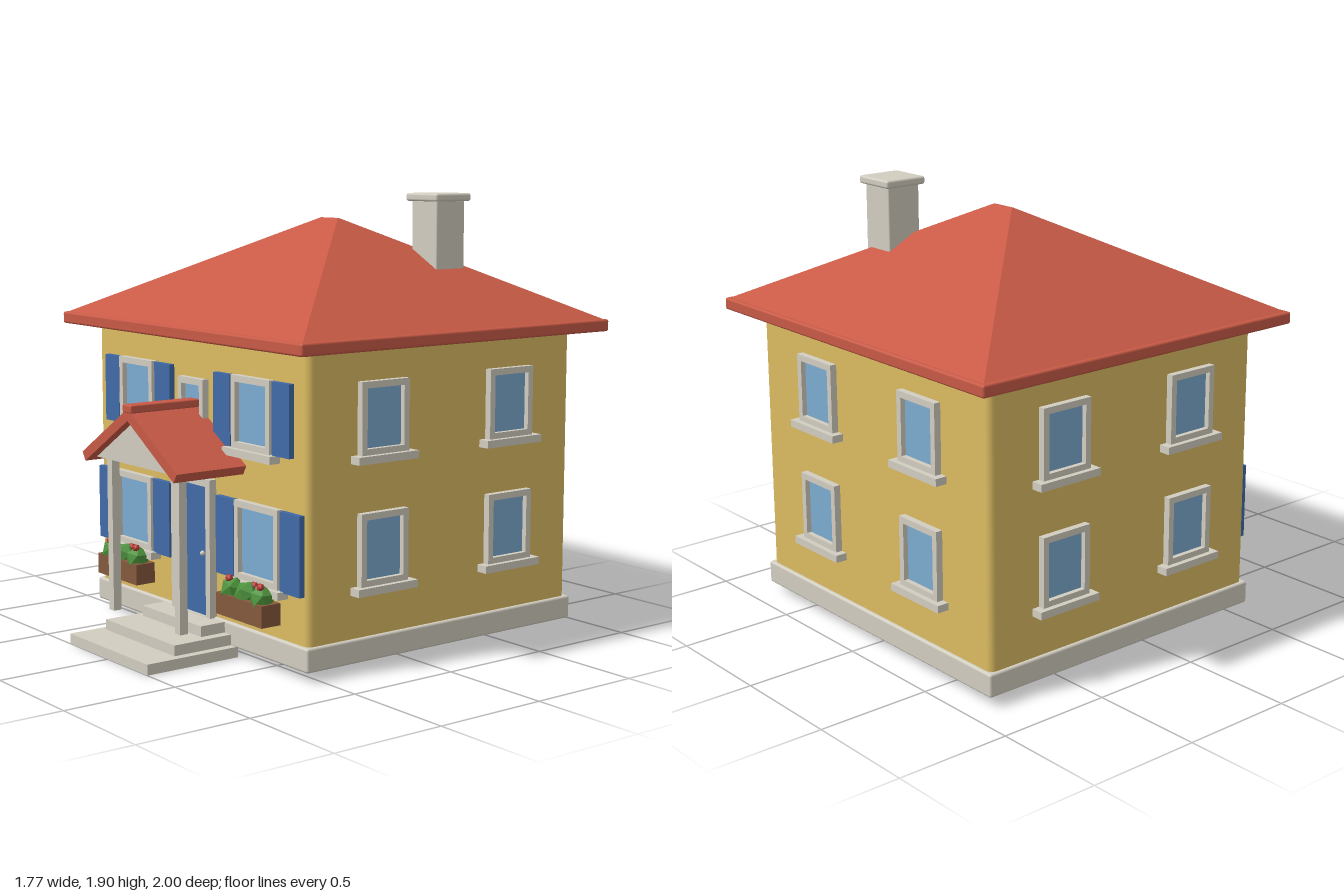
import * as THREE from 'three';
import { RoundedBoxGeometry } from 'three/addons/geometries/RoundedBoxGeometry.js';

const mat = (name, color, flatShading = false) => {
  const m = new THREE.MeshStandardMaterial({ color, flatShading });
  m.name = name;
  return m;
};

export function createModel() {
  const wallYellow = mat('wallYellow', 0xdcbc62);
  const roofRed = mat('roofRed', 0xc85a46);
  const trimStone = mat('trimStone', 0xd2cdc0);
  const paintBlue = mat('paintBlue', 0x416aa8);
  const glassBlue = mat('glassBlue', 0x7cabd0);
  const woodBrown = mat('woodBrown', 0x85593d);
  const leafGreen = mat('leafGreen', 0x4c923c, true);
  const flowerRed = mat('flowerRed', 0xbb3a34, true);

  const house = new THREE.Group();
  house.name = 'house';
  const CZ = -0.165; // centre of the main block

  const add = (parent, name, geometry, material, x = 0, y = 0, z = 0) => {
    const mesh = new THREE.Mesh(geometry, material);
    mesh.name = name;
    mesh.position.set(x, y, z);
    parent.add(mesh);
    return mesh;
  };
  // box given by its limits, with an optional edge radius
  const box = (parent, name, material, [x0, x1], [y0, y1], [z0, z1], r = 0) => {
    const s = [x1 - x0, y1 - y0, z1 - z0];
    const g = r ? new RoundedBoxGeometry(...s, 3, r) : new THREE.BoxGeometry(...s);
    return add(parent, name, g, material, (x0 + x1) / 2, (y0 + y1) / 2, (z0 + z1) / 2);
  };
  const extrude = (points, depth) => new THREE.ExtrudeGeometry(
    new THREE.Shape(points.map(p => new THREE.Vector2(...p))), { depth, bevelEnabled: false });
  // rectangular surround with an opening
  const frameGeometry = (w, h, t, depth, bottom = t) => {
    const rect = (C, a, b, c, d) => new C([[a, b], [c, b], [c, d], [a, d]].map(p => new THREE.Vector2(...p)));
    const shape = rect(THREE.Shape, -w / 2, 0, w / 2, h);
    shape.holes.push(rect(THREE.Path, -w / 2 + t, bottom, w / 2 - t, h - t));
    return new THREE.ExtrudeGeometry(shape, { depth, bevelEnabled: false });
  };

  // Main block
  box(house, 'foundation', trimStone, [-0.785, 0.785], [0.04, 0.14], [-0.895, 0.565], 0.01);
  box(house, 'walls', wallYellow, [-0.77, 0.77], [0.05, 1.35], [-0.88, 0.55], 0.03);

  // Hip roof: a box whose top is drawn in to the ridge
  box(house, 'eaves', roofRed, [-0.885, 0.885], [1.31, 1.362], [-1, 0.67], 0.01);
  const hip = new THREE.BoxGeometry(1.76, 0.435, 1.66).toNonIndexed();
  const p = hip.attributes.position;
  for (let i = 0; i < p.count; i++) {
    if (p.getY(i) > 0) p.setXYZ(i, Math.sign(p.getX(i)) * 0.06, p.getY(i), Math.sign(p.getZ(i)) * 0.003);
  }
  hip.computeVertexNormals();
  add(house, 'hipRoof', hip, roofRed, 0, 1.5725, CZ);

  // Chimney
  box(house, 'chimney', trimStone, [0.3, 0.46], [1.5, 1.87], [-0.54, -0.38], 0.006);
  box(house, 'chimneyCap', trimStone, [0.28, 0.48], [1.866, 1.9], [-0.56, -0.36], 0.01);

  // Window facing local +z, standing on its sill at y
  const addWindow = (name, wall, x, y, w, h, sill = true) => {
    const g = new THREE.Group();
    g.name = name;
    g.position.set(x, y, 0);
    add(g, 'windowFrame', frameGeometry(w, h, 0.027, 0.04), trimStone, 0, 0, -0.01);
    box(g, 'windowGlass', glassBlue, [-w / 2 + 0.02, w / 2 - 0.02], [0.02, h - 0.02], [0, 0.008]);
    if (sill) box(g, 'windowSill', trimStone, [-w / 2 - 0.033, w / 2 + 0.033], [-0.03, 0.002], [-0.01, 0.053]);
    wall.add(g);
  };
  const addWall = (name, x, z, turn) => {
    const g = new THREE.Group();
    g.name = name;
    g.position.set(x, 0, z);
    g.rotation.y = turn;
    house.add(g);
    return g;
  };

  // Side and back windows
  const plainWalls = [
    [addWall('leftWallWindows', 0.77, CZ, Math.PI / 2), 0.345],
    [addWall('rightWallWindows', -0.77, CZ, -Math.PI / 2), 0.345],
    [addWall('backWallWindows', 0, -0.88, Math.PI), 0.35],
  ];
  for (const [wall, offset] of plainWalls) {
    for (const s of [-1, 1]) {
      addWindow('lowerWindow', wall, s * offset, 0.35, 0.245, 0.3);
      addWindow('upperWindow', wall, s * offset, 0.883, 0.245, 0.297);
    }
  }

  // Front windows, shutters and flower boxes
  const front = addWall('frontWall', 0, 0.55, 0);
  addWindow('smallWindow', front, 0, 0.88, 0.185, 0.26, false);
  for (const s of [-1, 1]) {
    const span = (a, b) => (s > 0 ? [a, b] : [-b, -a]);
    addWindow('lowerWindow', front, s * 0.46, 0.343, 0.295, 0.327);
    addWindow('upperWindow', front, s * 0.425, 0.883, 0.262, 0.3);
    for (const [a, b, y0, y1] of [[0.175, 0.302, 0.34, 0.667], [0.618, 0.747, 0.34, 0.667],
      [0.162, 0.28, 0.885, 1.18], [0.567, 0.68, 0.885, 1.18]]) {
      box(front, 'shutter', paintBlue, span(a, b), [y0, y1], [-0.005, 0.025]);
    }
    box(front, 'flowerBox', woodBrown, span(0.302, 0.618), [0.205, 0.295], [0.02, 0.115]);
    for (let i = -1; i <= 1; i++) {
      const bush = add(front, 'bush', new THREE.IcosahedronGeometry(0.055, 0), leafGreen, s * 0.46 + i * 0.1, 0.31, 0.07);
      bush.rotation.set(0.3 * i, 0.8 * i + 0.4, 0.2);
    }
    for (const [x, y] of [[-0.105, 0.358], [0.11, 0.36], [0.02, 0.345]]) {
      add(front, 'flower', new THREE.IcosahedronGeometry(0.018, 0), flowerRed, s * 0.46 + x, y, x === 0.02 ? 0.05 : 0.085);
    }
  }

  // Front door
  add(front, 'doorFrame', frameGeometry(0.29, 0.59, 0.032, 0.045, 0.002), trimStone, 0, 0.135, -0.01);
  box(front, 'door', paintBlue, [-0.115, 0.115], [0.135, 0.697], [-0.01, 0.02]);
  add(front, 'doorKnob', new THREE.SphereGeometry(0.011, 12, 8), trimStone, 0.083, 0.405, 0.029);

  // Steps
  [[0.302, 0.045, 1], [0.265, 0.09, 0.845], [0.222, 0.135, 0.685]].forEach(([x, top, z], i) => {
    box(house, 'step', trimStone, [-x, x], [i * 0.045, top], [0.555, z]);
  });

  // Porch
  const porch = new THREE.Group();
  porch.name = 'porch';
  house.add(porch);
  for (const x of [-0.254, 0.254]) {
    box(porch, 'porchPost', trimStone, [x - 0.019, x + 0.019], [0.13, 0.8], [0.784, 0.822]);
  }
  add(porch, 'porchGable', extrude([[-0.315, 0.793], [0.315, 0.793], [0, 0.99]], 0.32), trimStone, 0, 0, 0.53);
  add(porch, 'porchRoof', extrude([[0, 1.035], [-0.36, 0.812], [-0.338, 0.775], [0, 0.985],
    [0.338, 0.775], [0.36, 0.812]], 0.36), roofRed, 0, 0, 0.53);
  box(porch, 'porchRidge', roofRed, [-0.033, 0.033], [1.018, 1.052], [0.53, 0.893], 0.006);

  return house;
}
